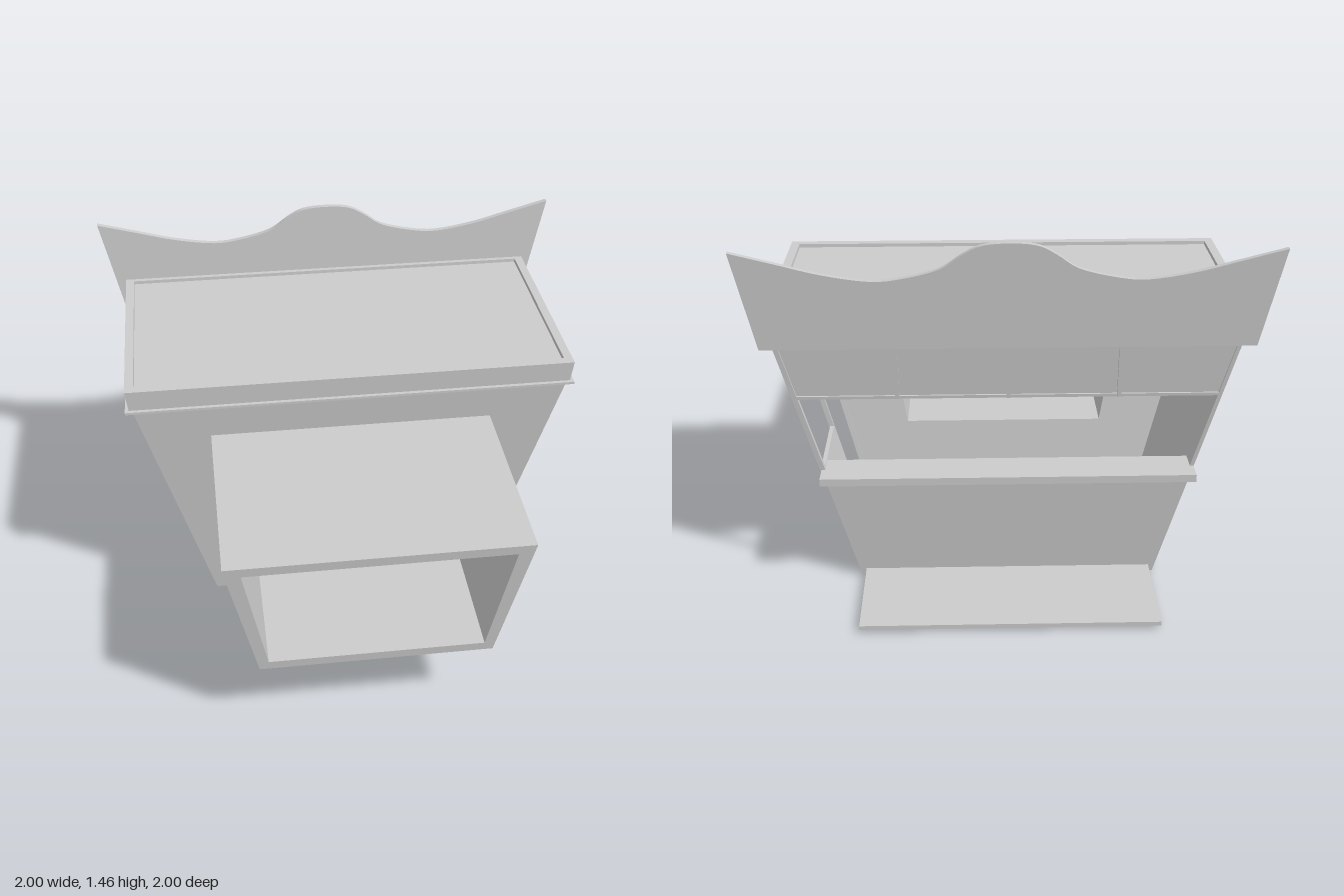
import * as THREE from 'three';
import { toCreasedNormals } from 'three/addons/utils/BufferGeometryUtils.js';

const T = 0.016; // wall thickness
const TOP = 1.08; // wall height
const BAND = 0.82; // bottom of the upper panels

// Leaning planes of the body
const sideX = (y) => 0.59 + 0.27 * y;
const frontZ = (y) => 0.075 + 0.107 * y;
const backZ = (y) => -0.58 - 0.107 * y;

// Mapping from an extruded outline (u, y, depth) to each plane
const onFront = (u, y, d) => [u, y, frontZ(y) - T + d];
const onBack = (u, y, d) => [u, y, backZ(y) + d];
const onLeft = (u, y, d) => [sideX(y) - T + d, y, -u];
const onRight = (u, y, d) => [-sideX(y) + d, y, -u];

const material = new THREE.MeshStandardMaterial({ color: 0xcccccc });

const outline = (pts, Type = THREE.Shape) => new Type(pts.map(([x, y]) => new THREE.Vector2(x, y)));

// Symmetric trapezoid: half widths and heights of its lower and upper edge
const trapezoid = (w0, y0, w1, y1) => [[-w0, y0], [w0, y0], [w1, y1], [-w1, y1]];

// Outline running between two edges given as functions of height
const between = (a, b, y0, y1) => [[a(y0), y0], [b(y0), y0], [b(y1), y1], [a(y1), y1]];

export function createModel() {
  const model = new THREE.Group();

  const add = (name, geometry) => {
    const mesh = new THREE.Mesh(geometry, material);
    mesh.name = name;
    model.add(mesh);
    return mesh;
  };

  // Extrudes an outline, then moves each vertex by the given mapping
  const panel = (name, pts, depth, map, hole) => {
    const shape = outline(pts);
    if (hole) shape.holes.push(outline(hole, THREE.Path));
    const geo = new THREE.ExtrudeGeometry(shape, { depth, bevelEnabled: false });
    const p = geo.attributes.position;
    for (let i = 0; i < p.count; i++) p.setXYZ(i, ...map(p.getX(i), p.getY(i), p.getZ(i)));
    geo.computeVertexNormals();
    return add(name, toCreasedNormals(geo, 0.5));
  };

  const box = (name, x0, x1, y0, y1, z0, z1) =>
    add(name, new THREE.BoxGeometry(x1 - x0, y1 - y0, z1 - z0))
      .position.set((x0 + x1) / 2, (y0 + y1) / 2, (z0 + z1) / 2);

  // Front wall, with the opening for the tunnel
  panel('frontWall', trapezoid(sideX(0.02), 0.02, sideX(TOP), TOP), T, onFront,
    trapezoid(0.44, 0.37, 0.54, 0.89));

  // Hollow tunnel through the front wall, rising slightly to the back
  panel('tunnel', trapezoid(0.455, 0.34, 0.575, 0.9), 0.9,
    (u, y, d) => [u, y + 0.013 * (1 - d / 0.9), 0.04 + 0.107 * (y - 0.34) + d],
    trapezoid(0.42, 0.378, 0.508, 0.86));

  // Closed right wall
  const frontU = (y) => -frontZ(y);
  const backU = (y) => -backZ(y);
  panel('rightWall', between(frontU, backU, 0.02, TOP), T, onRight);

  // Left side: doorway, low panel and upper band
  const doorU = () => 0.235;
  panel('leftLowPanel', between(doorU, backU, 0, 0.51), T, onLeft);
  panel('leftUpperPanel', between(frontU, backU, BAND, TOP), T * 0.6, onLeft);
  panel('leftUpperRail', between(frontU, backU, BAND, BAND + 0.012), T, onLeft);
  const post = (name, u0, u1, y0) => panel(name, between(u0, u1, y0, TOP), T + 0.004, onLeft);
  post('doorPost', () => 0.235, () => 0.25, 0.5);
  post('backCornerPost', (y) => backU(y) - 0.022, backU, 0.5);
  post('frontCornerPost', frontU, (y) => frontU(y) + 0.02, 0.02);

  // Back: low wall, upper band and mullions
  panel('backLowWall', trapezoid(sideX(0), 0, sideX(0.49), 0.49), T, onBack);
  panel('backUpperPanel', trapezoid(sideX(BAND), BAND, sideX(TOP), TOP), T,
    (u, y, d) => [u, y, backZ(y) + 0.008 + d]);
  panel('backUpperRail', trapezoid(sideX(BAND), BAND, sideX(BAND + 0.012), BAND + 0.012), T + 0.008, onBack);
  for (const x of [-0.42, 0, 0.42]) {
    panel('mullion', between(() => x - 0.008, () => x + 0.008, BAND, TOP), T + 0.01,
      (u, y, d) => [u, y, backZ(y) - 0.004 + d]);
  }

  // Serving counter and step behind the body
  box('counter', -0.725, 0.725, 0.475, 0.505, -0.715, -0.55);
  box('platform', -0.572, 0.572, 0.014, 0.03, -0.997, -0.585);

  // Roof: flange, slightly flared fascia with a rim, and recessed deck
  box('roofFlange', -0.905, 0.905, 1.07, 1.08, -0.7, 0.22);
  const rect = (w, z0, z1) => [[-w, z0], [w, z0], [w, z1], [-w, z1]];
  panel('roofRim', rect(0.9, -0.21, 0.72), 0.09, (x, v, d) => {
    const s = 0.988 + 0.012 * (d / 0.09);
    return [x * s, 1.077 + d, -((v - 0.255) * s + 0.255)];
  }, rect(0.865, -0.17, 0.7));
  box('roofDeck', -0.87, 0.87, 1.078, 1.153, -0.705, 0.175);

  // Curved headboard above the back, leaning outward
  const half = [[1, 1.43], [0.83, 1.385], [0.67, 1.343], [0.5, 1.317], [0.38, 1.328],
    [0.25, 1.362], [0.17, 1.415], [0.1, 1.45]];
  const crest = [...half, [0, 1.459], ...half.map(([x, y]) => [-x, y]).reverse()];
  const curve = new THREE.SplineCurve(crest.map(([x, y]) => new THREE.Vector2(x, y)));
  const top = curve.getPoints(64).map((p) => [p.x, p.y]);
  panel('headboard', [[-0.915, 1.05], [0.915, 1.05], ...top], 0.023,
    (u, y, d) => [u, y, -0.737 - 0.06 * (y - 1.05) + d]);

  return model;
}
